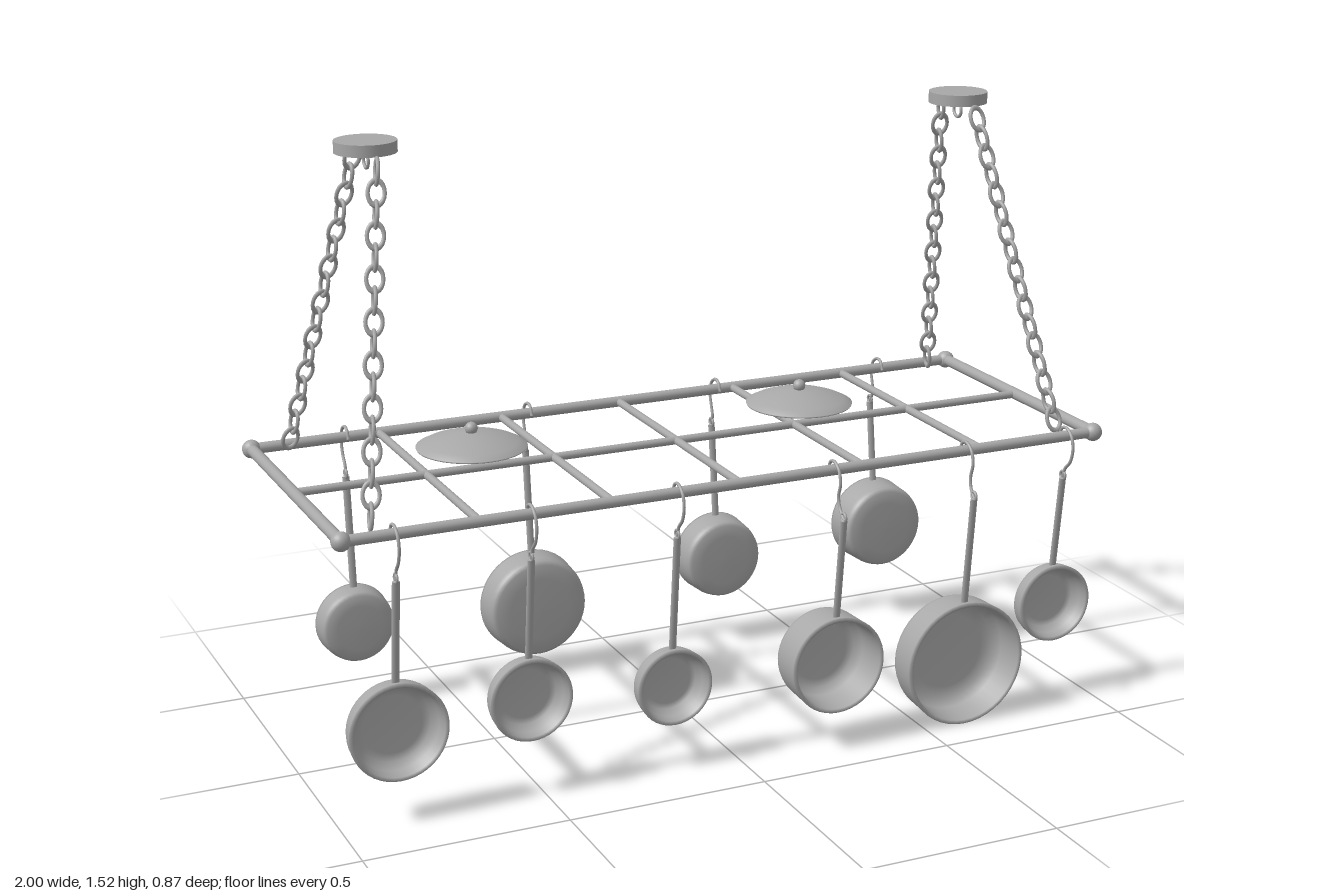
import * as THREE from 'three';

const steel = new THREE.MeshStandardMaterial({ color: 0xa8a8a8, side: THREE.DoubleSide });
steel.name = 'brushed steel';

const V = (x, y, z) => new THREE.Vector3(x, y, z);
const UP = V(0, 1, 0);
const MID_Z = -0.01; // centre line of the rack
const RAIL_Y = 0.712;
const FRONT_Z = 0.357;
const BACK_Z = -0.376;

function add(parent, name, geometry, x = 0, y = 0, z = 0) {
  const mesh = new THREE.Mesh(geometry, steel);
  mesh.name = name;
  mesh.position.set(x, y, z);
  parent.add(mesh);
  return mesh;
}

// Round bar between two points
function bar(parent, name, a, b, r, sides = 14) {
  const mesh = add(parent, name, new THREE.CylinderGeometry(r, r, a.distanceTo(b), sides));
  mesh.position.copy(a).add(b).multiplyScalar(0.5);
  mesh.quaternion.setFromUnitVectors(UP, b.clone().sub(a).normalize());
  return mesh;
}

// Rectangular grid of rails with ball corners
function makeRack() {
  const rack = new THREE.Group();
  rack.name = 'rack';
  const X = 0.978;
  for (const z of [FRONT_Z, BACK_Z]) {
    bar(rack, 'longRail', V(-X, RAIL_Y, z), V(X, RAIL_Y, z), 0.0135);
    for (const x of [-X, X]) add(rack, 'cornerBall', new THREE.SphereGeometry(0.023, 20, 14), x, RAIL_Y, z);
  }
  for (const x of [-X, X]) bar(rack, 'sideRail', V(x, RAIL_Y, FRONT_Z), V(x, RAIL_Y, BACK_Z), 0.0145);
  bar(rack, 'centreRail', V(-X, RAIL_Y, MID_Z), V(X, RAIL_Y, MID_Z), 0.01);
  for (let i = -2; i <= 2; i++) {
    bar(rack, 'crossBar', V(i * 0.326, RAIL_Y, FRONT_Z), V(i * 0.326, RAIL_Y, BACK_Z), 0.01);
  }
  return rack;
}

// Oval links, alternately turned a quarter round the chain's axis
function makeChain(from, to) {
  const chain = new THREE.Group();
  chain.name = 'chain';
  const link = new THREE.TorusGeometry(0.0195, 0.0048, 8, 20);
  link.scale(1, 1.45, 1);
  const count = 17;
  for (let i = 0; i < count; i++) {
    const mesh = add(chain, 'chainLink', link);
    mesh.position.lerpVectors(from, to, i / (count - 1));
    mesh.quaternion.setFromUnitVectors(UP, to.clone().sub(from).normalize());
    mesh.rotateY(Math.PI / 4 + (i % 2) * Math.PI / 2);
  }
  return chain;
}

// Ceiling plate with a ring and two spreading chains
function makeHanger(side) {
  const hanger = new THREE.Group();
  hanger.name = 'hanger';
  add(hanger, 'ceilingPlate', new THREE.CylinderGeometry(0.073, 0.073, 0.028, 36), side * 0.774, 1.514, MID_Z);
  const ring = add(hanger, 'plateRing', new THREE.TorusGeometry(0.018, 0.004, 8, 24), side * 0.774, 1.481, MID_Z);
  ring.rotation.y = Math.PI / 2;
  for (const s of [-1, 1]) {
    hanger.add(makeChain(V(side * 0.778, 1.472, MID_Z + s * 0.09), V(side * 0.892, 0.742, MID_Z + s * 0.318)));
  }
  return hanger;
}

// Shallow domed lid with a round knob
function makeLid(x) {
  const lid = new THREE.Group();
  lid.name = 'lid';
  const dome = [[0, 0.762], [0.04, 0.759], [0.08, 0.75], [0.115, 0.738], [0.137, 0.727], [0.135, 0.723], [0, 0.723]];
  add(lid, 'lidDome', new THREE.LatheGeometry(dome.map(p => new THREE.Vector2(...p)).reverse(), 48));
  add(lid, 'lidKnobStem', new THREE.CylinderGeometry(0.007, 0.007, 0.02, 12), 0, 0.762, 0);
  add(lid, 'lidKnob', new THREE.SphereGeometry(0.016, 18, 12), 0, 0.771, 0);
  lid.position.set(x, 0, -0.136);
  return lid;
}

// Pan hanging from a rail; built facing +z about the rail, turned round for the back
function makePan({ x, y, r, rim, back }) {
  const pan = new THREE.Group();
  pan.name = 'hangingPan';
  const base = -0.06;
  const depth = rim - base;
  const t = 0.01;
  const profile = [
    [0, 0], [r * 0.6, 0.0005], [r * 0.87, 0.003], [r * 0.94, 0.012], [r * 0.97, 0.026], [r * 0.995, depth - 0.006],
    [r, depth], [r - t, depth], [r * 0.96 - t, 0.032], [r * 0.85 - t, 0.011], [r * 0.6, 0.009], [0, 0.009],
  ];
  const bowl = add(pan, 'panBowl', new THREE.LatheGeometry(profile.map(p => new THREE.Vector2(...p)), 44), 0, y, base);
  bowl.rotation.x = Math.PI / 2;

  // Flattened handle leaning from the rim out to the hook
  const eyeZ = rim + 0.009;
  const handle = bar(pan, 'panHandle', V(0, y + r - 0.012, rim - 0.02), V(0, 0.603, eyeZ), 0.0095, 12);
  handle.scale.z = 0.6;
  const eye = add(pan, 'handleEye', new THREE.TorusGeometry(0.0105, 0.0035, 8, 18), 0, 0.611, eyeZ);
  eye.rotation.y = Math.PI / 2;

  // Hook curling over the rail and down through the eye
  const path = new THREE.CatmullRomCurve3([
    V(0, 0.71, -0.019), V(0, 0.73, -0.01), V(0, 0.736, 0.008), V(0, 0.722, 0.033), V(0, 0.69, 0.043),
    V(0, 0.655, 0.034), V(0, 0.63, (eyeZ + 0.02) / 2), V(0, 0.606, eyeZ),
  ]);
  add(pan, 'hook', new THREE.TubeGeometry(path, 32, 0.004, 8));

  pan.position.set(x, 0, back ? BACK_Z : FRONT_Z);
  if (back) pan.rotation.y = Math.PI;
  return pan;
}

export function createModel() {
  const model = new THREE.Group();
  model.name = 'hangingPotRack';
  model.add(makeRack());
  for (const side of [-1, 1]) model.add(makeHanger(side));
  for (const x of [-0.492, 0.404]) model.add(makeLid(x));

  // rim: distance of the pan's open edge outward from its rail
  const pans = [
    { x: -0.858, y: 0.232, r: 0.12, rim: 0.002 },
    { x: -0.532, y: 0.251, r: 0.102, rim: -0.004 },
    { x: -0.166, y: 0.219, r: 0.096, rim: -0.004 },
    { x: 0.243, y: 0.227, r: 0.123, rim: 0.054 },
    { x: 0.607, y: 0.166, r: 0.161, rim: 0.044 },
    { x: 0.893, y: 0.264, r: 0.101, rim: -0.006 },
    { x: -0.737, y: 0.222, r: 0.098, rim: 0.006, back: true },
    { x: -0.249, y: 0.195, r: 0.137, rim: 0.022, back: true },
    { x: 0.283, y: 0.249, r: 0.11, rim: 0.024, back: true },
    { x: 0.77, y: 0.27, r: 0.117, rim: 0.038, back: true },
  ];
  for (const p of pans) model.add(makePan(p));
  return model;
}
